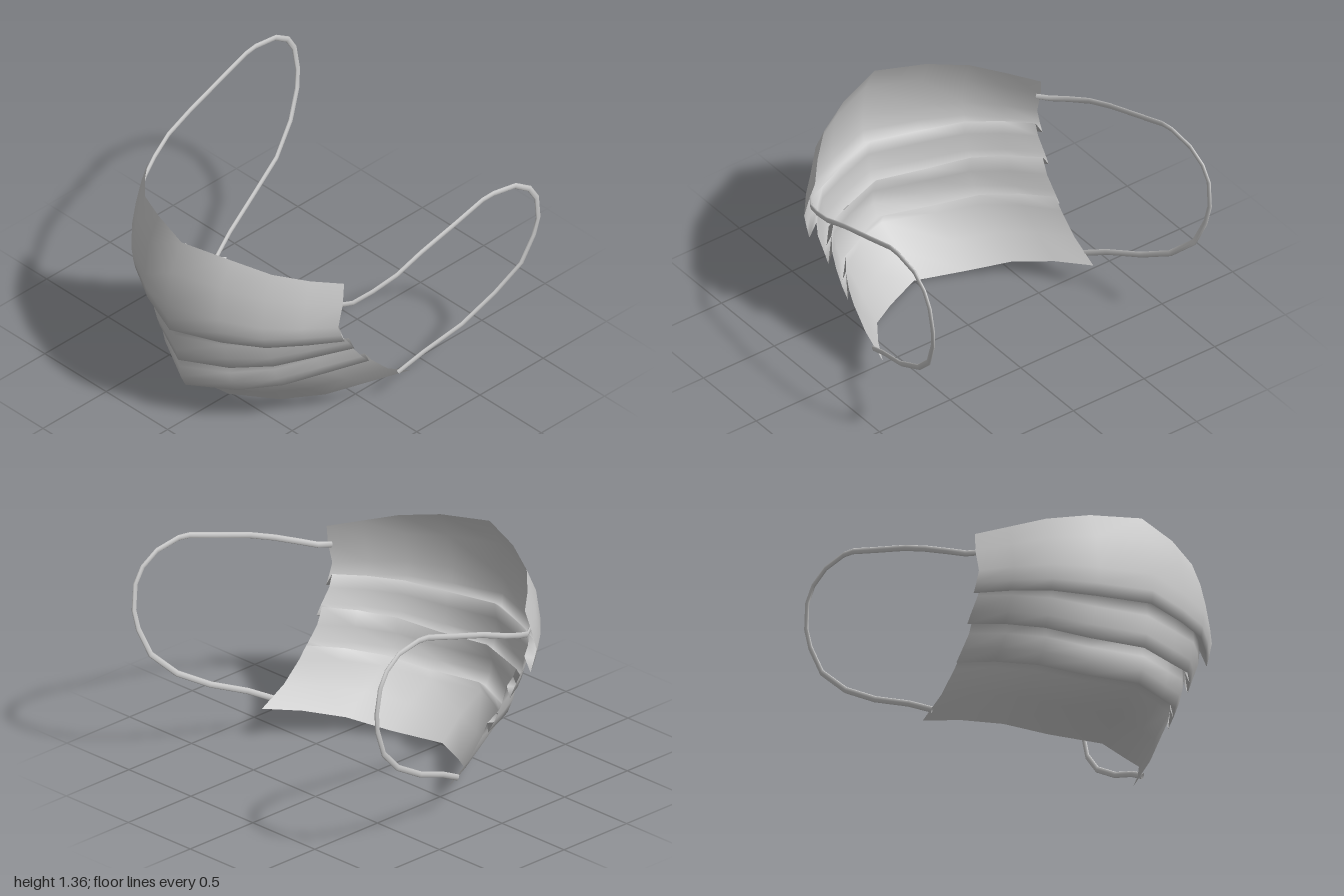
import * as THREE from 'three';

const material = new THREE.MeshStandardMaterial({ color: 0xcccccc, side: THREE.DoubleSide });

// Indexed grid surface; wrap joins the last column to the first
function gridGeometry(rows, wrap = false) {
  const n = rows[0].length, index = [];
  for (let r = 0; r < rows.length - 1; r++) {
    for (let c = 0; c < (wrap ? n : n - 1); c++) {
      const a = r * n + c, d = r * n + (c + 1) % n;
      index.push(a, a + n, d, d, a + n, d + n);
    }
  }
  const geometry = new THREE.BufferGeometry();
  geometry.setAttribute('position', new THREE.Float32BufferAttribute(rows.flat(2), 3));
  geometry.setIndex(index);
  geometry.computeVertexNormals();
  return geometry;
}

// Pleated cloth: each row runs from the centre line to the side edge
function buildCloth() {
  // centre y, centre z, edge x, edge y, edge z
  const rows = [
    // top panel
    [1.27, 0.89, 0.80, 1.14, 0.38],
    [1.10, 0.975, 0.82, 1.02, 0.41],
    [0.88, 1.00, 0.825, 0.88, 0.45],
    [0.78, 0.995, 0.825, 0.81, 0.425],
    [0.70, 0.985, 0.825, 0.755, 0.40],
    // first fold and second panel
    [0.74, 0.93, 0.775, 0.84, 0.40],
    [0.64, 0.945, 0.78, 0.76, 0.38],
    [0.53, 0.935, 0.78, 0.68, 0.32],
    [0.45, 0.915, 0.78, 0.62, 0.28],
    // second fold and third panel
    [0.50, 0.87, 0.745, 0.68, 0.29],
    [0.40, 0.905, 0.745, 0.58, 0.25],
    [0.32, 0.895, 0.75, 0.50, 0.19],
    [0.245, 0.86, 0.75, 0.44, 0.135],
    // third fold and chin panel
    [0.29, 0.80, 0.73, 0.49, 0.15],
    [0.23, 0.82, 0.735, 0.42, 0.10],
    [0.13, 0.655, 0.74, 0.30, -0.02],
    [0.00, 0.515, 0.745, 0.20, -0.19],
  ];
  // how far x, y and z have moved from centre to edge at each column
  const fx = [0, 0.365, 0.645, 0.84, 1];
  const fy = [0, 0.17, 0.5, 0.8, 1];
  const fz = [0, 0.2, 0.42, 0.71, 1];
  const points = rows.map(([cy, cz, ex, ey, ez]) => {
    const row = [];
    for (let c = -4; c <= 4; c++) {
      const i = Math.abs(c);
      row.push([Math.sign(c) * fx[i] * ex, cy + (ey - cy) * fy[i], cz + (ez - cz) * fz[i]]);
    }
    return row;
  });
  const mesh = new THREE.Mesh(gridGeometry(points), material);
  mesh.name = 'pleatedCloth';
  return mesh;
}

// Ear loop: a flattened oval band swept along the path
function buildEarLoop(side) {
  const path = [
    [0.80, 1.01, 0.42], [0.845, 1.015, 0.355], [0.89, 1.06, 0.24], [0.93, 1.12, 0.09],
    [0.94, 1.19, -0.09], [0.955, 1.27, -0.35], [0.965, 1.335, -0.555], [0.97, 1.342, -0.635],
    [0.977, 1.315, -0.80], [0.985, 1.245, -0.905], [0.988, 1.155, -0.96], [0.98, 1.0, -0.98],
    [0.965, 0.88, -0.96], [0.94, 0.705, -0.885], [0.89, 0.55, -0.725], [0.85, 0.42, -0.50],
    [0.79, 0.32, -0.26], [0.745, 0.235, -0.10],
  ];
  const sides = 8;
  const rings = path.map(([x, y, z], i) => {
    const p = path[Math.max(i - 1, 0)], q = path[Math.min(i + 1, path.length - 1)];
    const dy = q[1] - p[1], dz = q[2] - p[2], len = Math.hypot(dy, dz);
    return Array.from({ length: sides }, (_, k) => {
      const a = side * k / sides * Math.PI * 2;
      const u = 0.018 * Math.cos(a), v = 0.008 * Math.sin(a);
      return [side * (x + v), y - u * dz / len, z + u * dy / len];
    });
  });
  const mesh = new THREE.Mesh(gridGeometry(rings, true), material);
  mesh.name = side > 0 ? 'leftEarLoop' : 'rightEarLoop';
  return mesh;
}

export function createModel() {
  const group = new THREE.Group();
  group.name = 'faceMask';
  group.add(buildCloth(), buildEarLoop(1), buildEarLoop(-1));
  return group;
}
